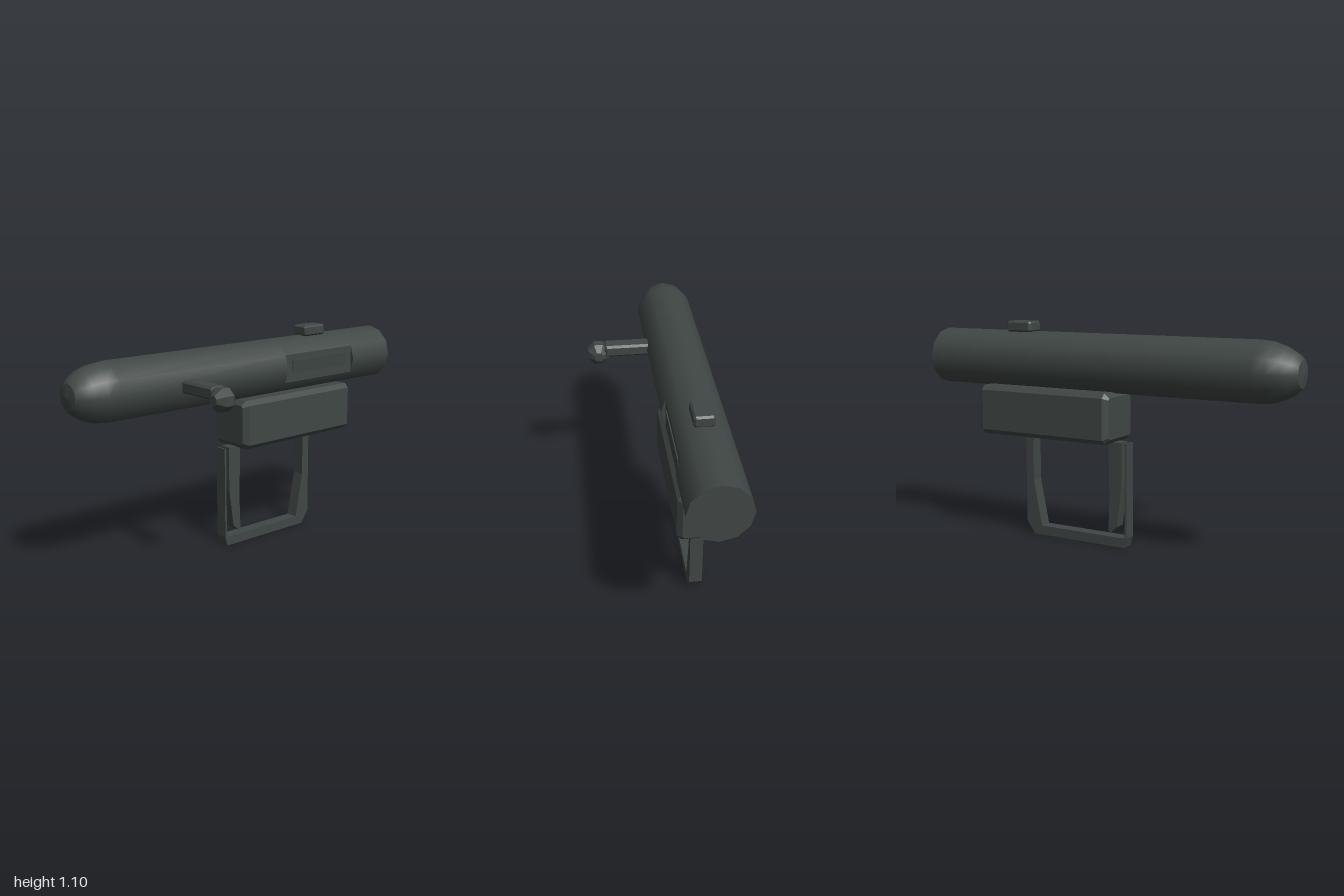
import * as THREE from 'three';

const gunmetal = new THREE.MeshStandardMaterial({ color: 0x404745 });
gunmetal.name = 'gunmetal';

const CX = -0.155, CY = 0.91, R = 0.145, SIDES = 12;

export function createModel() {
  const model = new THREE.Group();

  const add = (name, geometry, x = 0, y = 0, z = 0) => {
    const mesh = new THREE.Mesh(geometry, gunmetal);
    mesh.name = name;
    mesh.position.set(x, y, z);
    model.add(mesh);
    return mesh;
  };

  // Box with every edge chamfered by c
  const chamferBox = (w, h, d, c) => {
    const a = w / 2 - c, b = h / 2 - c, k = c * 0.4;
    const shape = new THREE.Shape([
      [-a + k, -b], [a - k, -b], [a, -b + k], [a, b - k],
      [a - k, b], [-a + k, b], [-a, b - k], [-a, -b + k],
    ].map(p => new THREE.Vector2(...p)));
    const g = new THREE.ExtrudeGeometry(shape, {
      depth: d - 2 * c, bevelEnabled: true, bevelSize: c, bevelThickness: c, bevelSegments: 1,
    });
    return g.translate(0, 0, -d / 2 + c);
  };

  // Side outline of [z, y] points given thickness along x
  const sidePlate = (points, width) => {
    const shape = new THREE.Shape(points.map(p => new THREE.Vector2(...p)));
    const g = new THREE.ExtrudeGeometry(shape, { depth: width, bevelEnabled: false });
    return g.rotateY(-Math.PI / 2).translate(width / 2, 0, 0);
  };

  // Profile of [radius, z] points turned about the z axis
  const turned = (points, sides) =>
    new THREE.LatheGeometry(points.map(p => new THREE.Vector2(...p)), sides).rotateX(Math.PI / 2);

  // Tube: rounded front, cut-away middle and plain rear
  add('frontTube', turned([[R, -0.22], [R, 0.8], [0.138, 0.86], [0.118, 0.92], [0.092, 0.965], [0.065, 0.99]], SIDES), CX, CY);
  add('noseTip', turned([[0.065, 0.99], [0, 1]], SIDES), CX, CY);
  add('frontStep', new THREE.CircleGeometry(R, SIDES).rotateY(Math.PI), CX, CY, -0.22);
  add('middleTube', new THREE.CylinderGeometry(R, R, 0.49, SIDES - 2, 1, true, Math.PI * 2 / 3, Math.PI * 5 / 3)
    .rotateX(Math.PI / 2), CX, CY, -0.465);
  add('rearTube', new THREE.CylinderGeometry(R, R, 0.29, SIDES).rotateX(Math.PI / 2), CX, CY, -0.855);

  // Flat port face with a shallow raised cover
  const flatX = CX + R * Math.cos(Math.PI / 6);
  add('portFace', new THREE.PlaneGeometry(0.49, R).rotateY(Math.PI / 2), flatX, CY, -0.465);
  const cover = new THREE.BoxGeometry(0.008, 0.08, 0.39);
  const pos = cover.attributes.position;
  for (let i = 0; i < pos.count; i++) {
    if (pos.getX(i) > 0 && pos.getY(i) < 0) pos.setX(i, -0.003);
  }
  cover.computeVertexNormals();
  add('portCover', cover, flatX + 0.002, CY, -0.465);

  // Sight block and receiver
  add('sightBlock', chamferBox(0.097, 0.055, 0.145, 0.009), -0.153, 1.077, -0.508);
  add('receiver', chamferBox(0.26, 0.252, 0.77, 0.024), -0.152, 0.65, -0.325);

  // Side handle with faceted knob
  add('handleStem', chamferBox(0.25, 0.062, 0.08, 0.011), 0.085, 0.908, 0.42);
  const c = 1 / Math.cos(Math.PI / 8);
  const knob = turned([[0, -0.055], [0.024 * c, -0.055], [0.055 * c, -0.022],
    [0.055 * c, 0.022], [0.024 * c, 0.055], [0, 0.055]], 8).rotateZ(Math.PI / 8).toNonIndexed();
  knob.computeVertexNormals();
  add('handleKnob', knob, 0.24, 0.885, 0.427);

  // Grip loop: thin front bar, bottom bar and rear grip
  add('gripLoop', sidePlate([
    [0.118, 0.525], [0.107, 0.525], [0.107, 0.048], [-0.39, 0.048], [-0.437, 0.285], [-0.437, 0.54],
    [-0.482, 0.54], [-0.482, 0.065], [-0.435, 0], [0.104, 0], [0.118, 0.05],
  ], 0.064), -0.152);

  // Trigger
  add('trigger', sidePlate([
    [0.087, 0.527], [0.012, 0.527], [0.018, 0.25], [0.012, 0.075], [0.024, 0.068], [0.06, 0.1], [0.087, 0.3],
  ], 0.06), -0.152);

  return model;
}
